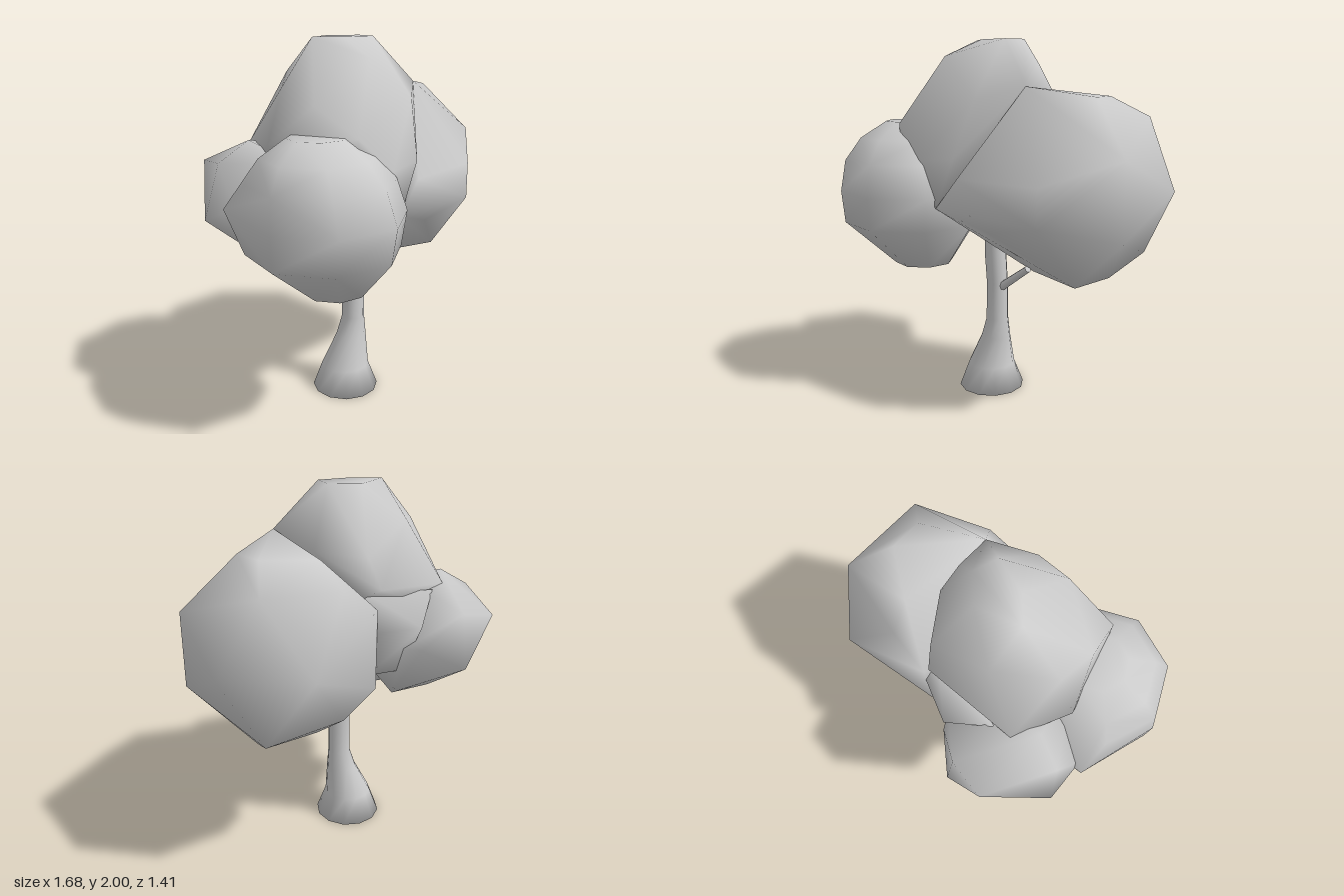
import * as THREE from 'three';
import { ConvexGeometry } from 'three/addons/geometries/ConvexGeometry.js';
import { mergeVertices } from 'three/addons/utils/BufferGeometryUtils.js';

const material = new THREE.MeshStandardMaterial({ color: 0xcccccc });

// Weld shared corners so the shading runs smoothly over the surface
function smooth(geometry) {
  geometry.deleteAttribute('normal');
  geometry.deleteAttribute('uv');
  const welded = mergeVertices(geometry, 1e-4);
  welded.computeVertexNormals();
  return welded;
}

function addMesh(group, name, geometry) {
  const mesh = new THREE.Mesh(geometry, material);
  mesh.name = name;
  group.add(mesh);
  return mesh;
}

// Low-poly foliage clump: the hull of a few corner points
function clump(corners) {
  return smooth(new ConvexGeometry(corners.map((c) => new THREE.Vector3(...c))));
}

// Corners of an eight-sided level ring
function ring(y, cx, cz, r) {
  return Array.from({ length: 8 }, (_, i) => {
    const t = ((i + 0.5) / 8) * Math.PI * 2;
    return [cx + r * Math.cos(t), y, cz + r * Math.sin(t)];
  });
}

// Flared, slightly bent trunk with a closed base, from rings [y, centre x, radius x, radius z]
function trunkGeometry(rings) {
  const rows = rings.length - 1;
  const geometry = new THREE.CylinderGeometry(1, 1, 1, 12, rows);
  const p = geometry.attributes.position;
  for (let i = 0; i < p.count; i++) {
    const [y, cx, rx, rz] = rings[Math.round((p.getY(i) + 0.5) * rows)];
    p.setXYZ(i, cx + p.getX(i) * rx, y, p.getZ(i) * rz);
  }
  return smooth(geometry);
}

export function createModel() {
  const tree = new THREE.Group();
  tree.name = 'tree';

  addMesh(tree, 'trunk', trunkGeometry([
    [0, -0.095, 0.187, 0.19],
    [0.14, -0.095, 0.135, 0.135],
    [0.32, -0.052, 0.085, 0.083],
    [0.43, -0.038, 0.064, 0.063],
    [0.65, -0.038, 0.062, 0.06],
    [0.82, -0.055, 0.066, 0.06],
    [1.0, -0.06, 0.055, 0.055],
    [1.25, -0.06, 0.045, 0.045],
  ]));

  // Side branch
  const from = new THREE.Vector3(0, 0.625, 0);
  const to = new THREE.Vector3(0.235, 0.785, 0);
  const along = to.clone().sub(from);
  const branch = addMesh(tree, 'branch', new THREE.CylinderGeometry(0.019, 0.025, along.length(), 8));
  branch.position.copy(from).add(to).multiplyScalar(0.5);
  branch.quaternion.setFromUnitVectors(new THREE.Vector3(0, 1, 0), along.normalize());

  // Corners where the left clump and the crown grow together
  const shoulder = [0.3, 1.76, 0.08];
  const frontTip = [-0.02, 1.13, 0.42];

  // Large clump on the left
  addMesh(tree, 'leftFoliage', clump([
    shoulder, frontTip,
    // back
    [0.37, 1.23, -0.71], [0.78, 1.23, -0.52], [0.57, 1.6, -0.55], [0.57, 0.86, -0.55],
    [0.15, 1.57, -0.5], [0.15, 0.9, -0.5], [-0.05, 1.44, -0.45], [-0.05, 1.02, -0.45],
    // outer side
    [0.84, 1.43, -0.08], [0.84, 1.03, -0.08], [0.58, 1.3, 0.24], [0.58, 1.1, 0.24],
    // top
    [0.56, 1.71, -0.16], [0.5, 1.71, -0.32], [0.22, 1.7, -0.39],
    // underside
    [0.22, 0.75, -0.31], [0.54, 0.75, -0.31], [0.56, 0.75, -0.04], [0.22, 0.76, -0.05], [0, 0.93, -0.25],
    // front
    [0.12, 1.3, 0.38], [0.25, 1.03, 0.28],
  ]));

  // Crown
  addMesh(tree, 'topFoliage', clump([
    shoulder, frontTip,
    // top
    [-0.26, 2, -0.03], [0.07, 2, -0.1], [0.07, 2, 0.03], [-0.12, 2, 0.04], [-0.08, 2, -0.17],
    // upper sides
    [-0.12, 1.91, 0.28], [-0.48, 1.77, 0.05], [-0.31, 1.82, -0.22], [-0.03, 1.68, -0.38],
    [-0.04, 1.85, -0.26], [0.19, 1.86, -0.11], [0.19, 1.7, -0.22], [0.14, 1.7, 0.28], [-0.42, 1.7, 0.26],
    // widest part
    [-0.58, 1.5, 0.08], [-0.54, 1.46, -0.23], [-0.3, 1.56, 0.46], [-0.08, 1.53, -0.43],
    [0.1, 1.4, 0.39],
    // underside
    [0, 1.48, -0.36], [-0.5, 1.33, -0.2], [-0.3, 1.42, 0.46], [-0.1, 1.38, 0.46], [0.15, 1.4, -0.15],
  ]));

  // Front clump on the right
  addMesh(tree, 'frontFoliage', clump([
    ...ring(0.76, -0.34, 0.3, 0.165),
    ...ring(1.0, -0.41, 0.32, 0.39),
    ...ring(1.18, -0.4, 0.32, 0.41),
    ...ring(1.35, -0.42, 0.32, 0.37),
    ...ring(1.47, -0.43, 0.31, 0.285),
    ...ring(1.56, -0.43, 0.3, 0.15),
    [-0.81, 1.2, 0.03],
  ]));

  // Smaller clump behind it
  addMesh(tree, 'backFoliage', clump([
    [-0.84, 1.1, -0.15], [-0.77, 1.4, -0.1], [-0.7, 1.34, -0.48], [-0.5, 1.1, -0.57], [-0.5, 1.38, -0.52],
    [-0.29, 1.2, -0.48], [-0.22, 1.2, -0.42], [-0.6, 1.5, -0.1], [-0.4, 1.45, -0.25], [-0.76, 1.2, 0.05],
    [-0.45, 0.9, -0.28], [-0.22, 0.9, -0.3], [-0.72, 1.0, -0.03], [-0.45, 1.4, 0.15], [-0.1, 1.1, 0],
  ]));

  // Inner foliage joining the clumps at the back
  addMesh(tree, 'innerFoliage', clump([
    [-0.29, 1.32, -0.47], [-0.03, 1.32, -0.45], [-0.03, 1.5, -0.36], [-0.45, 1.45, -0.28],
    [-0.05, 1.05, -0.35], [-0.25, 1.05, -0.35], [-0.4, 1.2, 0.2], [0.15, 1.2, 0.2],
  ]));

  return tree;
}
